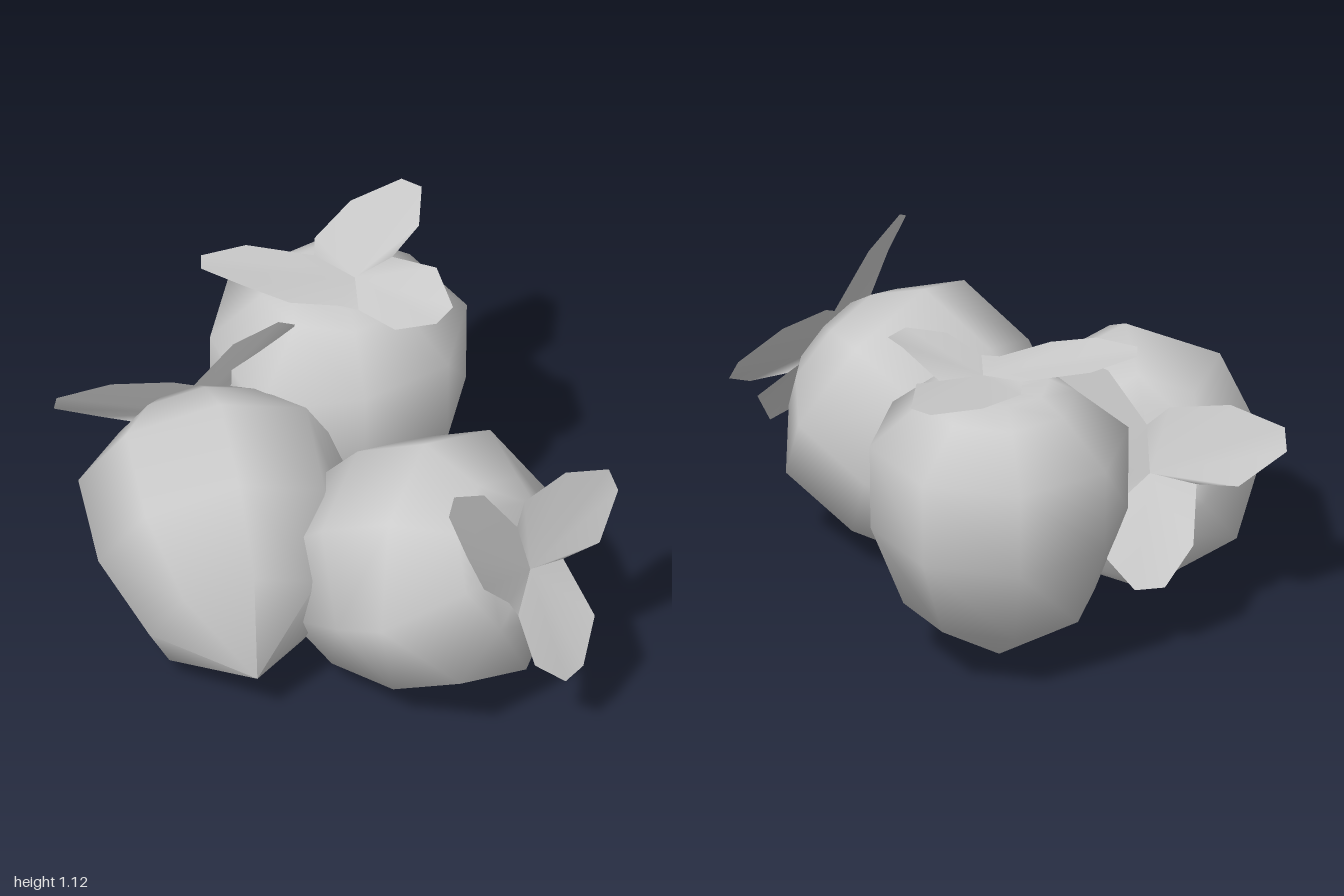
import * as THREE from 'three';

const material = new THREE.MeshStandardMaterial({ color: 0xcccccc, side: THREE.DoubleSide });

// Fruit body: eight-sided smooth lathe, tip at the origin, dimple on top
function fruitGeometry() {
  const profile = [[0, 0], [0.32, 0.215], [0.43, 0.505], [0.433, 0.805], [0.26, 0.955], [0.17, 1.005], [0, 0.98]]
    .map(([r, y]) => new THREE.Vector2(r, y));
  const geo = new THREE.LatheGeometry(profile, 8);
  const pos = geo.attributes.position;
  for (let i = 0; i < pos.count; i++) {
    // slight bulge on one side of the shoulder
    if (pos.getZ(i) > 0.42 && pos.getY(i) > 0.7 && Math.abs(pos.getX(i)) < 0.01) {
      pos.setXYZ(i, 0, 0.74, 0.48);
    }
  }
  geo.translate(0.015, 0, 0);
  return geo;
}

// Each leaf is a thin blade fanned out from the stem point
const hub = [0.08, 1.015, 0];
const notchA = [-0.08, 1.04, 0], notchB = [0.13, 1.025, -0.15], notchC = [0.18, 1.005, 0.13];
const leaves = [
  [notchC, [0.12, 1.01, 0.15], [0, 1.05, 0.27], [-0.15, 1.09, 0.32], [-0.31, 1.10, 0.33],
    [-0.35, 1.10, 0.27], [-0.27, 1.08, 0.12], notchA],
  [notchA, [-0.13, 1.04, -0.08], [-0.12, 1.07, -0.28], [-0.03, 1.09, -0.45], [0.05, 1.09, -0.45],
    [0.15, 1.08, -0.28], notchB],
  [notchB, [0.33, 1.09, -0.11], [0.46, 1.045, -0.01], [0.46, 1.04, 0.09], [0.35, 1.02, 0.17], notchC],
];

function leafGeometry(outline) {
  const geo = new THREE.BufferGeometry();
  geo.setAttribute('position', new THREE.Float32BufferAttribute([hub, ...outline].flat(), 3));
  const index = [];
  for (let i = 1; i < outline.length; i++) index.push(0, i + 1, i);
  geo.setIndex(index);
  geo.computeVertexNormals();
  return geo;
}

export function createModel() {
  const model = new THREE.Group();
  model.name = 'fruitCluster';
  const body = fruitGeometry();
  const blades = leaves.map(leafGeometry);

  // One upright fruit behind, two lying on their sides in front
  const placements = [
    { name: 'backFruit', at: [-0.35, 0.02, -0.37], turn: 0, tilt: 0 },
    { name: 'leftFruit', at: [-0.17, 0.2, 0.16], turn: 0, tilt: -1.09 },
    { name: 'rightFruit', at: [0.05, 0.2, 0.705], turn: 2.39, tilt: -1.09 },
  ];
  for (const { name, at, turn, tilt } of placements) {
    const fruit = new THREE.Group();
    fruit.name = name;
    const flesh = new THREE.Mesh(body, material);
    flesh.name = 'fruitBody';
    fruit.add(flesh);
    blades.forEach((geo) => {
      const leaf = new THREE.Mesh(geo, material);
      leaf.name = 'leaf';
      fruit.add(leaf);
    });
    fruit.position.set(...at);
    fruit.rotation.set(0, turn, tilt, 'YXZ');
    model.add(fruit);
  }
  return model;
}
